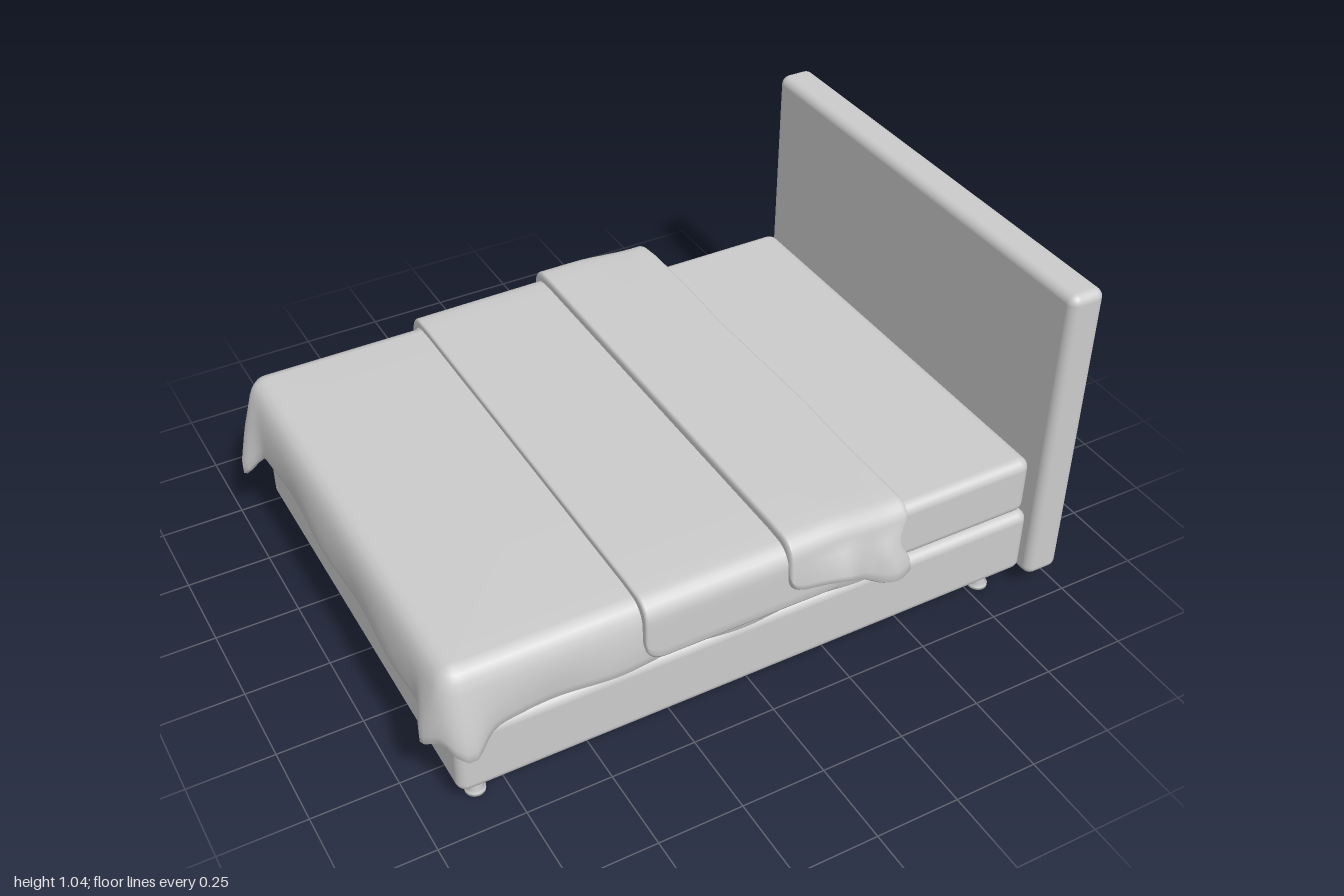
import * as THREE from 'three';
import { RoundedBoxGeometry } from 'three/addons/geometries/RoundedBoxGeometry.js';

const grey = new THREE.MeshStandardMaterial({ color: 0xcccccc });
const cloth = new THREE.MeshStandardMaterial({ color: 0xcccccc, side: THREE.DoubleSide });
const clamp = THREE.MathUtils.clamp;
const smooth = THREE.MathUtils.smoothstep;
const bell = (d, s) => Math.exp(-(d * d) / (s * s));

// Skin a list of cross-sections (rows of [x, y, z]) with a smooth surface
function loft(rows, closed) {
  const n = rows[0].length, index = [];
  for (let i = 0; i < rows.length - 1; i++) {
    for (let j = 0; j < (closed ? n : n - 1); j++) {
      const k = (j + 1) % n;
      const a = i * n + j, b = i * n + k, c = a + n, d = b + n;
      index.push(a, b, c, b, d, c);
    }
  }
  const geo = new THREE.BufferGeometry();
  geo.setAttribute('position', new THREE.Float32BufferAttribute(rows.flat(2), 3));
  geo.setIndex(index);
  geo.computeVertexNormals();
  return geo;
}

function add(parent, name, geo, mat = grey) {
  const mesh = new THREE.Mesh(geo, mat);
  mesh.name = name;
  parent.add(mesh);
  return mesh;
}

// Upholstered block given by its limits
function block(parent, name, [x0, x1], [y0, y1], halfZ, r) {
  const geo = new RoundedBoxGeometry(x1 - x0, y1 - y0, 2 * halfZ, 5, r);
  add(parent, name, geo).position.set((x0 + x1) / 2, (y0 + y1) / 2, 0);
}

// Main blanket: rings round the mattress, rising from the hem to the top
function blanketGeometry() {
  const x0 = -0.95, x1 = 0.385, hz = 0.722, r = 0.07;
  const s = new THREE.Shape();
  s.absarc(x1 - r, hz - r, r, 0, Math.PI / 2);
  s.absarc(x0 + r, hz - r, r, Math.PI / 2, Math.PI);
  s.absarc(x0 + r, r - hz, r, Math.PI, Math.PI * 1.5);
  s.absarc(x1 - r, r - hz, r, Math.PI * 1.5, Math.PI * 2);
  s.closePath();
  const outline = s.getSpacedPoints(280).slice(0, -1);
  // [inset, height, scale towards the middle]
  const rings = [
    [0.03, 0.345, 1], [0.012, 0.33, 1], [0.002, 0.336, 1], [0, 0.36, 1], [0, 0.385, 1],
    [0, 0.41, 1], [0.003, 0.44, 1], [0.008, 0.47, 1], [0.018, 0.497, 1], [0.032, 0.516, 1],
    [0.05, 0.526, 1], [0.066, 0.529, 1], [0.066, 0.532, 0.8], [0.066, 0.534, 0.4], [0.066, 0.534, 0],
  ];
  const mid = (x0 + x1) / 2;
  return loft(rings.map(([inset, y, scale]) => outline.map((p) => {
    const px = p.x, pz = -p.y;
    const cx = clamp(px, x0 + r, x1 - r), cz = clamp(pz, r - hz, hz - r);
    const nx = (px - cx) / r, nz = (pz - cz) / r;
    // Gathered folds hanging at the two foot corners
    const low = smooth(0.48 - y, 0, 0.14);
    const az = Math.abs(pz), back = pz < 0 ? 1.15 : 0.75;
    const lobe = bell(Math.hypot(px + 0.885, az - 0.72), 0.05)
      + bell(Math.hypot(px + 0.945, az - 0.635), 0.045);
    const ripple = 0.004 * Math.sin(px * 17 + pz * 13);
    const out = low * (0.045 * back * lobe + ripple) - inset;
    return [
      mid + (px + nx * out - mid) * scale,
      y - low * (0.085 * back * lobe + ripple),
      (pz + nz * out) * scale,
    ];
  })), true);
}

// Strip of cloth laid across the bed, hanging down on both sides
function stripGeometry({ x0, x1, top, width, hem, flare, thick, round, warp }) {
  const rows = [], N = 56;
  const section = (x, inset) => {
    const w = width - inset, t = top(x) - inset, f = flare;
    const half = (side) => {
      const h = hem(x, side) + round(x) + inset * 0.5, wb = w + f(x, side);
      const at = (k) => THREE.MathUtils.lerp(h, t - 0.06, k);
      const pts = [[wb - thick, h + 0.012], [wb - thick * 0.4, h], [wb, h + 0.012]];
      for (const k of [0.25, 0.45, 0.65, 0.85, 1]) {
        pts.push([w + f(x, side) * (1 - k * k), Math.max(at(k), h + 0.013)]);
      }
      for (let i = 1; i <= 6; i++) {
        const a = (i / 6) * Math.PI / 2;
        pts.push([w - 0.06 * (1 - Math.cos(a)), t - 0.06 * (1 - Math.sin(a))]);
      }
      for (const k of [0.85, 0.6, 0.3]) pts.push([w * k, t + 0.003]);
      return pts.map(([z, y]) => [x + warp(x, y, z * side), y, z * side]);
    };
    return [...half(-1), [x + warp(x, t, 0), t + 0.003, 0], ...half(1).reverse()];
  };
  rows.push(section(x0, thick));
  for (let i = 0; i <= N; i++) {
    const u = (1 - Math.cos((i / N) * Math.PI)) / 2;
    const x = x0 + (x1 - x0) * u;
    const edge = Math.min(x - x0, x1 - x);
    const q = clamp(1 - edge / 0.008, 0, 1);
    rows.push(section(x, thick * 0.4 * (1 - Math.sqrt(1 - q * q))));
  }
  rows.push(section(x1, thick));
  return loft(rows, false);
}

// Rise of the hem towards a rounded corner, d away from the end
const corner = (d, r) => {
  const q = clamp(1 - d / r, 0, 1);
  return r * (1 - Math.sqrt(1 - q * q));
};

export function createModel() {
  const bed = new THREE.Group();
  bed.name = 'bed';

  block(bed, 'headboard', [0.885, 0.995], [0.065, 1.04], 0.717, 0.028);
  block(bed, 'base', [-0.905, 0.88], [0.085, 0.3], 0.69, 0.03);
  block(bed, 'mattress', [-0.9, 0.868], [0.303, 0.49], 0.682, 0.032);

  // Legs with a flared foot
  const legProfile = [[0, 0], [0.029, 0], [0.029, 0.01], [0.021, 0.015], [0.021, 0.09]]
    .map(([x, y]) => new THREE.Vector2(x, y));
  const legGeo = new THREE.LatheGeometry(legProfile, 20);
  for (const x of [-0.833, 0.793]) {
    for (const z of [-0.612, 0.612]) add(bed, 'leg', legGeo).position.set(x, 0, z);
  }

  add(bed, 'blanket', blanketGeometry(), cloth);

  // Turned-back layer across the middle
  add(bed, 'middleLayer', stripGeometry({
    x0: -0.392, x1: 0.235, width: 0.738, thick: 0.02,
    top: (x) => 0.55 + 0.008 * (x + 0.39),
    hem: () => 0.353,
    flare: () => 0.002,
    round: (x) => corner(Math.min(x + 0.392, 0.235 - x), 0.06),
    warp: () => 0,
  }), cloth);

  // Thick folded end with uneven, flaring sides
  add(bed, 'foldedEnd', stripGeometry({
    x0: 0.028, x1: 0.405, width: 0.748, thick: 0.035,
    top: (x) => 0.58 - 0.014 * smooth(x, 0.15, 0.36) - corner(0.405 - x, 0.02),
    hem: (x) => 0.408 - 0.065 * smooth(x, 0.17, 0.33),
    flare: (x, side) => 0.008 + 0.022 * smooth(x, 0.05, 0.2)
      + 0.012 * Math.sin(x * 38 + side) * smooth(x, 0.1, 0.3),
    round: (x) => corner(x - 0.028, 0.055) + corner(0.405 - x, 0.02),
    warp: (x, y, z) => smooth(x, 0.25, 0.405)
      * (0.005 * Math.sin(z * 9) - 0.032 * bell(y - 0.46, 0.05) * smooth(Math.abs(z), 0.6, 0.72)),
  }), cloth);

  return bed;
}
